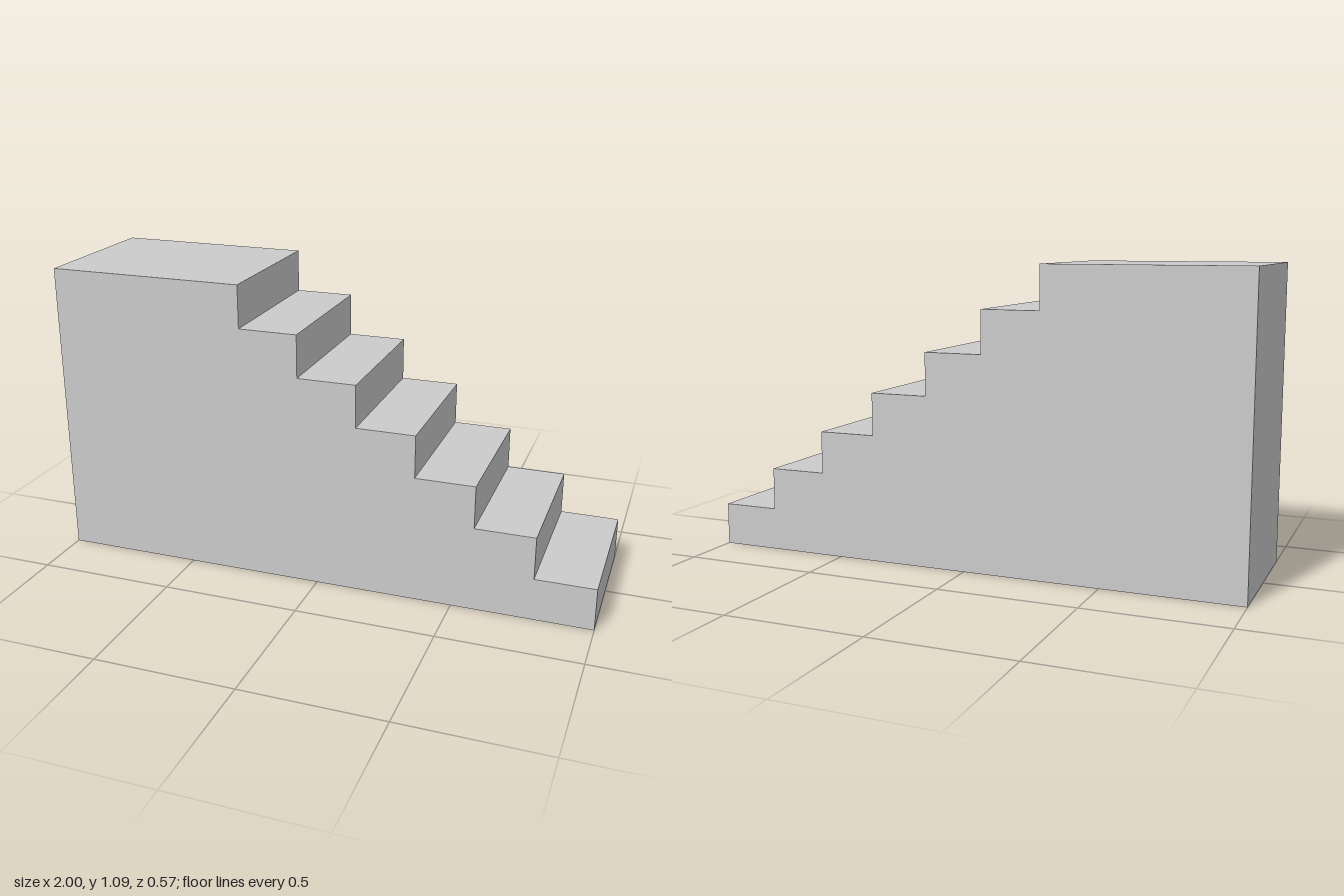
import * as THREE from 'three';

export function createModel() {
  const group = new THREE.Group();
  group.name = 'staircase';

  const steps = 6;
  const width = 0.566;
  const height = 1.087;
  const landingEdge = -0.281;
  const riser = height / (steps + 1);
  const tread = (1 - landingEdge) / steps;

  // Side profile: base, then each riser and tread up to the landing
  const profile = new THREE.Shape();
  profile.moveTo(-1, 0);
  profile.lineTo(1, 0);
  for (let i = 0; i <= steps; i++) {
    const x = 1 - i * tread;
    profile.lineTo(x, (i + 1) * riser);
    profile.lineTo(i < steps ? x - tread : -1, (i + 1) * riser);
  }
  profile.closePath();

  // Solid flight of stairs with its top landing
  const geometry = new THREE.ExtrudeGeometry(profile, { depth: width, bevelEnabled: false });
  geometry.translate(0, 0, -width / 2);
  const stairs = new THREE.Mesh(
    geometry,
    new THREE.MeshStandardMaterial({ color: 0xcccccc, flatShading: true })
  );
  stairs.name = 'stairsAndLanding';
  group.add(stairs);

  return group;
}
